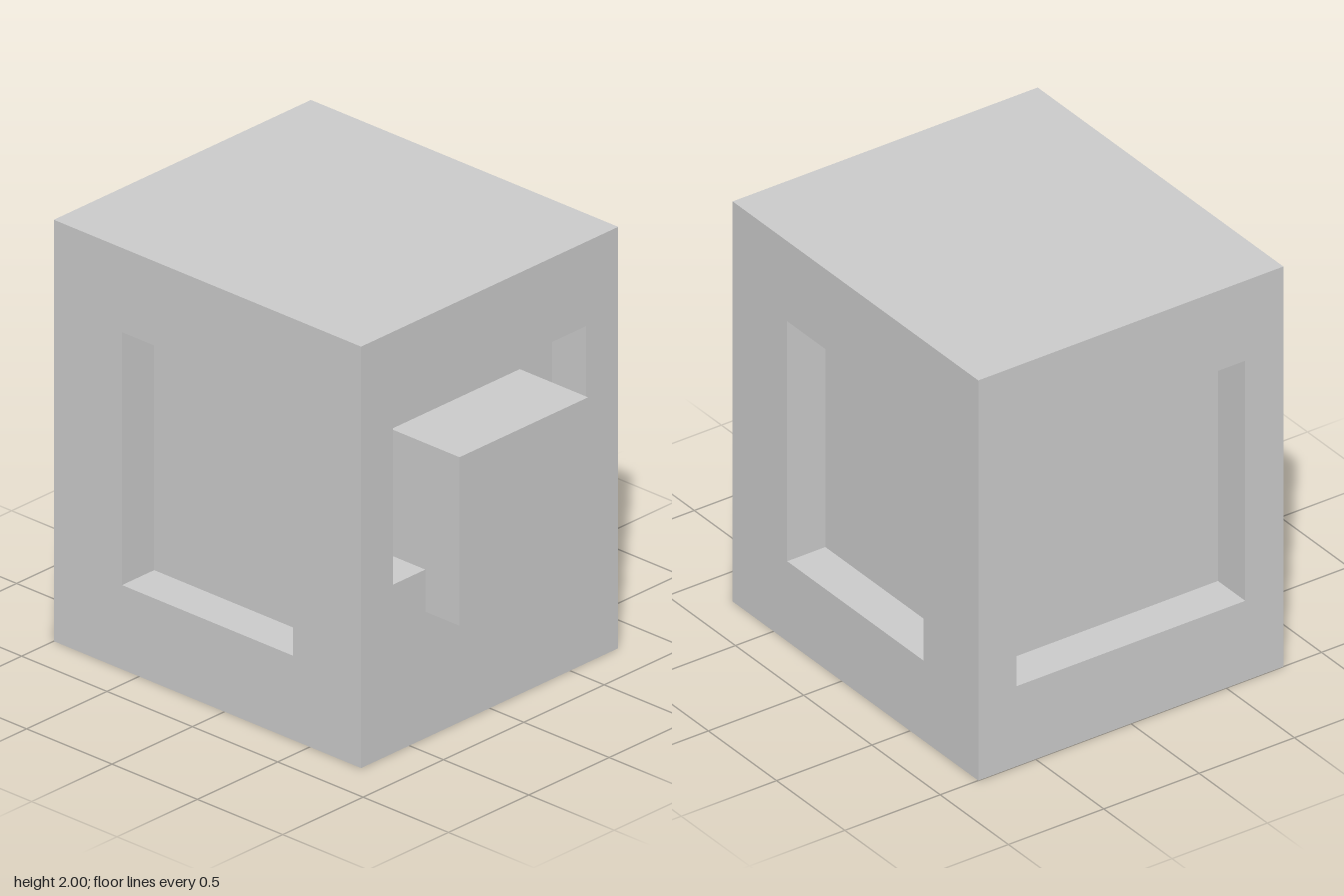
import * as THREE from 'three';
import { mergeGeometries } from 'three/addons/utils/BufferGeometryUtils.js';

const material = new THREE.MeshStandardMaterial({ color: 0xcccccc, flatShading: true });
const HEIGHT = 2, WIDTH = 1.6, LENGTH = 1.8, DEPTH = 0.2;
const HALF_PI = Math.PI / 2;

// Corners of a rectangle centred on x, as a list of points
const rect = (w, y0, y1) => [[-w / 2, y0], [w / 2, y0], [w / 2, y1], [-w / 2, y1]]
  .map(([x, y]) => new THREE.Vector2(x, y));

// Wall facing +z with a rectangular recess sunk into it
function recessedWall(name, width, holeWidth, y0, y1) {
  const shape = new THREE.Shape(rect(width, 0, HEIGHT));
  shape.holes.push(new THREE.Path(rect(holeWidth, y0, y1)));
  const h = y1 - y0, mid = (y0 + y1) / 2;
  const plane = (w, t) => new THREE.PlaneGeometry(w, t);
  const parts = [
    new THREE.ShapeGeometry(shape),
    plane(holeWidth, h).translate(0, mid, -DEPTH),
    plane(holeWidth, DEPTH).rotateX(-HALF_PI).translate(0, y0, -DEPTH / 2),
    plane(holeWidth, DEPTH).rotateX(HALF_PI).translate(0, y1, -DEPTH / 2),
  ];
  for (const s of [-1, 1]) {
    parts.push(plane(DEPTH, h).rotateY(-s * HALF_PI).translate(s * holeWidth / 2, mid, -DEPTH / 2));
  }
  const mesh = new THREE.Mesh(mergeGeometries(parts), material);
  mesh.name = name;
  return mesh;
}

export function createModel() {
  const model = new THREE.Group();
  model.name = 'recessedBlock';

  // Body shell, centred slightly behind the origin
  const body = new THREE.Group();
  body.name = 'body';
  body.position.z = -0.1;
  model.add(body);

  const front = recessedWall('frontWall', WIDTH, 1.2, 0.8, 1.6);
  front.position.z = LENGTH / 2;
  const back = recessedWall('backWall', WIDTH, 1.2, 0.4, 1.6);
  back.position.z = -LENGTH / 2;
  back.rotation.y = Math.PI;
  body.add(front, back);

  for (const s of [-1, 1]) {
    const side = recessedWall(s > 0 ? 'leftWall' : 'rightWall', LENGTH, 1, 0.4, 1.6);
    side.position.x = s * WIDTH / 2;
    side.rotation.y = s * HALF_PI;
    body.add(side);
  }

  // Top and bottom covers
  for (const [name, y, s] of [['top', HEIGHT, -1], ['bottom', 0, 1]]) {
    const cover = new THREE.Mesh(new THREE.PlaneGeometry(WIDTH, LENGTH), material);
    cover.name = name;
    cover.position.y = y;
    cover.rotation.x = s * HALF_PI;
    body.add(cover);
  }

  // Block projecting from the floor of the front recess
  const block = new THREE.Mesh(new THREE.BoxGeometry(0.8, 0.8, 0.4), material);
  block.name = 'frontBlock';
  block.position.set(0, 1, 0.8);
  model.add(block);

  return model;
}
